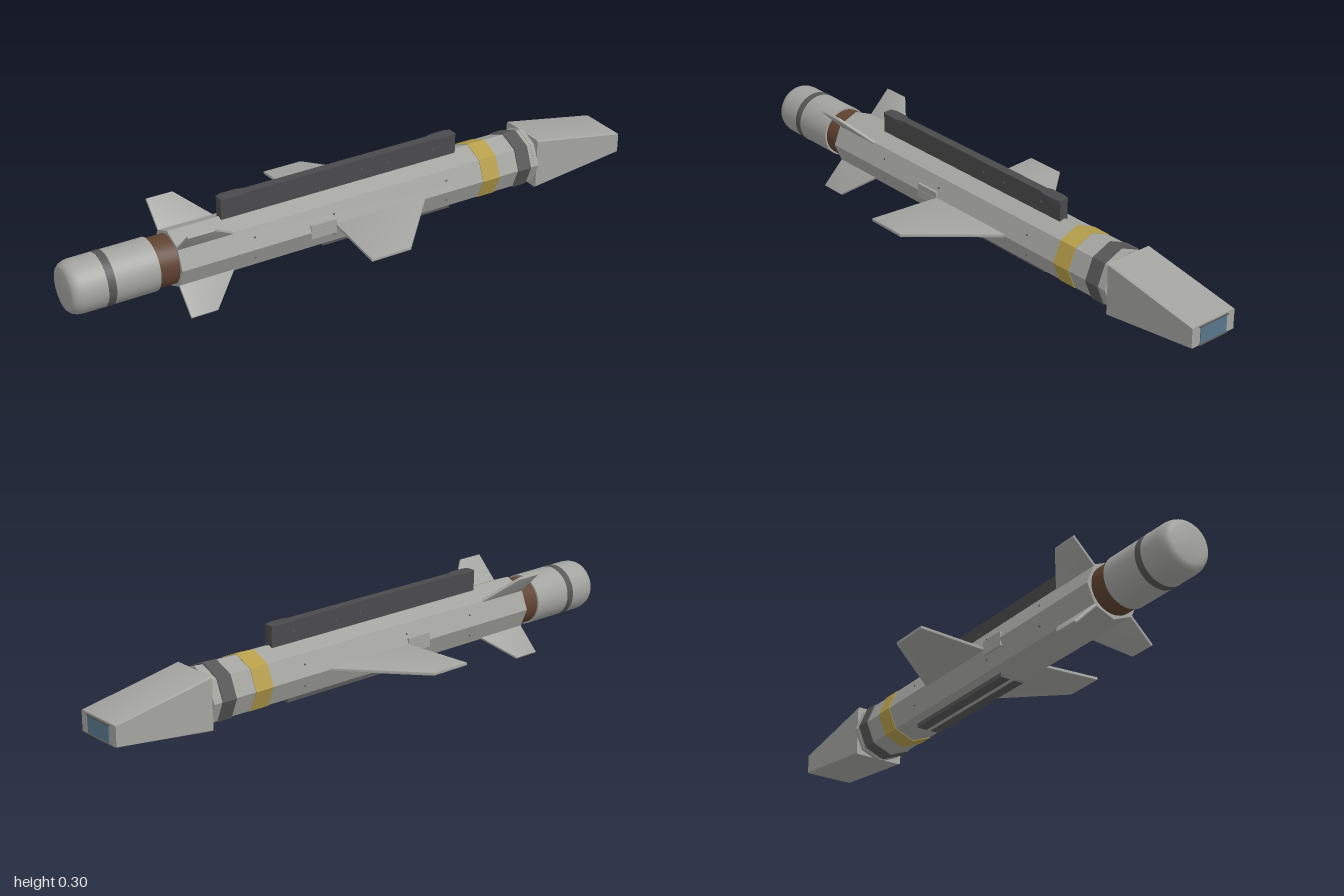
import * as THREE from 'three';
import { toCreasedNormals } from 'three/addons/utils/BufferGeometryUtils.js';

const AXIS = 0.142; // height of the body's centre line

function paint(name, color) {
  const m = new THREE.MeshStandardMaterial({ color });
  m.name = name;
  return m;
}

export function createModel() {
  const root = new THREE.Group();
  root.name = 'missile';

  const grey = paint('light grey', 0xa3a3a0);
  const dark = paint('dark grey', 0x565656);
  const rail = paint('rail grey', 0x4a4a4c);
  const yellow = paint('yellow', 0xb59d4a);
  const brown = paint('brown', 0x5f4230);
  const glass = paint('blue glass', 0x58768a);

  function add(name, geo, mat, x = 0, y = 0, z = 0) {
    const mesh = new THREE.Mesh(toCreasedNormals(geo, 0.6), mat);
    mesh.name = name;
    mesh.position.set(x, y, z);
    root.add(mesh);
    return mesh;
  }

  // Drum lying along x between x0 and x1
  function drum(name, x0, x1, r, sides, mat) {
    const geo = new THREE.CylinderGeometry(r, r, x1 - x0, sides).rotateZ(-Math.PI / 2);
    return add(name, geo, mat, (x0 + x1) / 2, AXIS);
  }

  // Box given by its limits
  function block(name, x0, x1, y0, y1, z0, z1, mat) {
    const geo = new THREE.BoxGeometry(x1 - x0, y1 - y0, z1 - z0);
    return add(name, geo, mat, (x0 + x1) / 2, (y0 + y1) / 2, (z0 + z1) / 2);
  }

  // Eight-sided body with painted and raised bands
  drum('body', -0.655, 0.655, 0.094, 8, grey);
  drum('yellowBand', 0.435, 0.5, 0.096, 8, yellow);
  drum('darkBand', 0.575, 0.625, 0.098, 8, dark);
  drum('noseCollar', 0.64, 0.656, 0.0955, 8, grey);

  // Round tail: neck, booster with softly rounded rear, and its band
  drum('neck', -0.725, -0.65, 0.079, 40, brown);
  const tail = [[0, -1], [0.06, -1], [0.07, -0.997], [0.078, -0.988],
    [0.083, -0.975], [0.085, -0.96], [0.085, -0.72], [0, -0.72]];
  const tailGeo = new THREE.LatheGeometry(tail.map(p => new THREE.Vector2(...p)), 40);
  add('booster', tailGeo.rotateZ(-Math.PI / 2), grey, 0, AXIS);
  drum('boosterBand', -0.89, -0.865, 0.0862, 40, dark);

  // Wedge nose: rounded rectangle, tapering in height toward the front
  const w = 0.086, c = 0.005;
  const face = new THREE.Shape();
  face.moveTo(-w + c, -1);
  face.lineTo(w - c, -1);
  face.lineTo(w, -0.95);
  face.lineTo(w, 0.95);
  face.lineTo(w - c, 1);
  face.lineTo(-w + c, 1);
  face.lineTo(-w, 0.95);
  face.lineTo(-w, -0.95);
  const nose = new THREE.ExtrudeGeometry(face, { depth: 1, bevelEnabled: false });
  nose.rotateY(Math.PI / 2);
  const pos = nose.attributes.position;
  for (let i = 0; i < pos.count; i++) {
    const t = pos.getX(i);
    const half = THREE.MathUtils.lerp(0.0865, 0.0335, t);
    const mid = THREE.MathUtils.lerp(AXIS, 0.1315, t);
    pos.setXYZ(i, THREE.MathUtils.lerp(0.655, 0.996, t), mid + pos.getY(i) * half, pos.getZ(i));
  }
  add('nose', nose, grey);

  // Seeker window and its upper and lower trim
  block('seekerWindow', 0.993, 0.999, 0.103, 0.157, -0.053, 0.053, glass);
  for (const y of [0.0995, 0.1585]) {
    block('windowTrim', 0.993, 1, y - 0.0015, y + 0.0015, -0.058, 0.058, dark);
  }

  // Thin blade: points are [x, distance from axis]; angle turns it about x
  function blade(name, points, thickness, angle) {
    const b = 0.003;
    const shape = new THREE.Shape(points.map(p => new THREE.Vector2(...p)));
    const geo = new THREE.ExtrudeGeometry(shape, {
      depth: thickness - 2 * b, bevelThickness: b, bevelSize: b, bevelOffset: -b, bevelSegments: 2,
    });
    geo.translate(0, 0, -thickness / 2 + b);
    add(name, geo.rotateX(angle), grey, 0, AXIS);
  }
  const wing = [[-0.118, 0.07], [0.235, 0.07], [0.21, 0.095], [0, 0.334], [-0.14, 0.334]];
  const fin = [[-0.655, 0.07], [-0.445, 0.07], [-0.47, 0.095], [-0.565, 0.197], [-0.655, 0.197]];
  for (const side of [1, -1]) {
    const where = side > 0 ? 'front' : 'back';
    blade(where + 'Wing', wing, 0.011, side * Math.PI / 2);
    blade(where + 'UpperFin', fin, 0.01, side * Math.PI / 4);
    blade(where + 'LowerFin', fin, 0.01, side * Math.PI * 3 / 4);

    // Raised access panel behind each wing
    const z = side * 0.0885;
    block(where + 'SidePanel', -0.21, -0.118, 0.118, 0.165, z - 0.005, z + 0.005, grey);

    // Small fasteners on the side facets
    for (const x of [-0.4, -0.12, 0.3]) {
      for (const y of [-0.035, 0.035]) {
        const rivet = new THREE.CylinderGeometry(0.003, 0.003, 0.003, 8).rotateX(Math.PI / 2);
        add('rivet', rivet, dark, x, AXIS + y, side * 0.08);
      }
    }
  }

  // Launch rail on top, with wider shoes at both ends
  block('launchRail', -0.48, 0.375, 0.225, 0.3, -0.015, 0.015, rail);
  for (const x of [-0.435, 0.33]) {
    const s = new THREE.Shape([[-0.045, -0.016], [-0.025, -0.022], [0.025, -0.022], [0.045, -0.016],
      [0.045, 0.016], [0.025, 0.022], [-0.025, 0.022], [-0.045, 0.016]].map(p => new THREE.Vector2(...p)));
    const shoe = new THREE.ExtrudeGeometry(s, { depth: 0.013, bevelEnabled: false });
    add('railShoe', shoe.rotateX(-Math.PI / 2), rail, x, 0.287);
  }
  for (const x of [0.02, 0.12, 0.29]) {
    const pin = new THREE.CylinderGeometry(0.004, 0.004, 0.034, 10).rotateX(Math.PI / 2);
    add('railPin', pin, dark, x, 0.265);
  }

  // Flat cable cover along the belly
  block('bellyCover', -0.14, 0.34, 0.051, 0.068, -0.042, 0.042, dark);

  return root;
}
